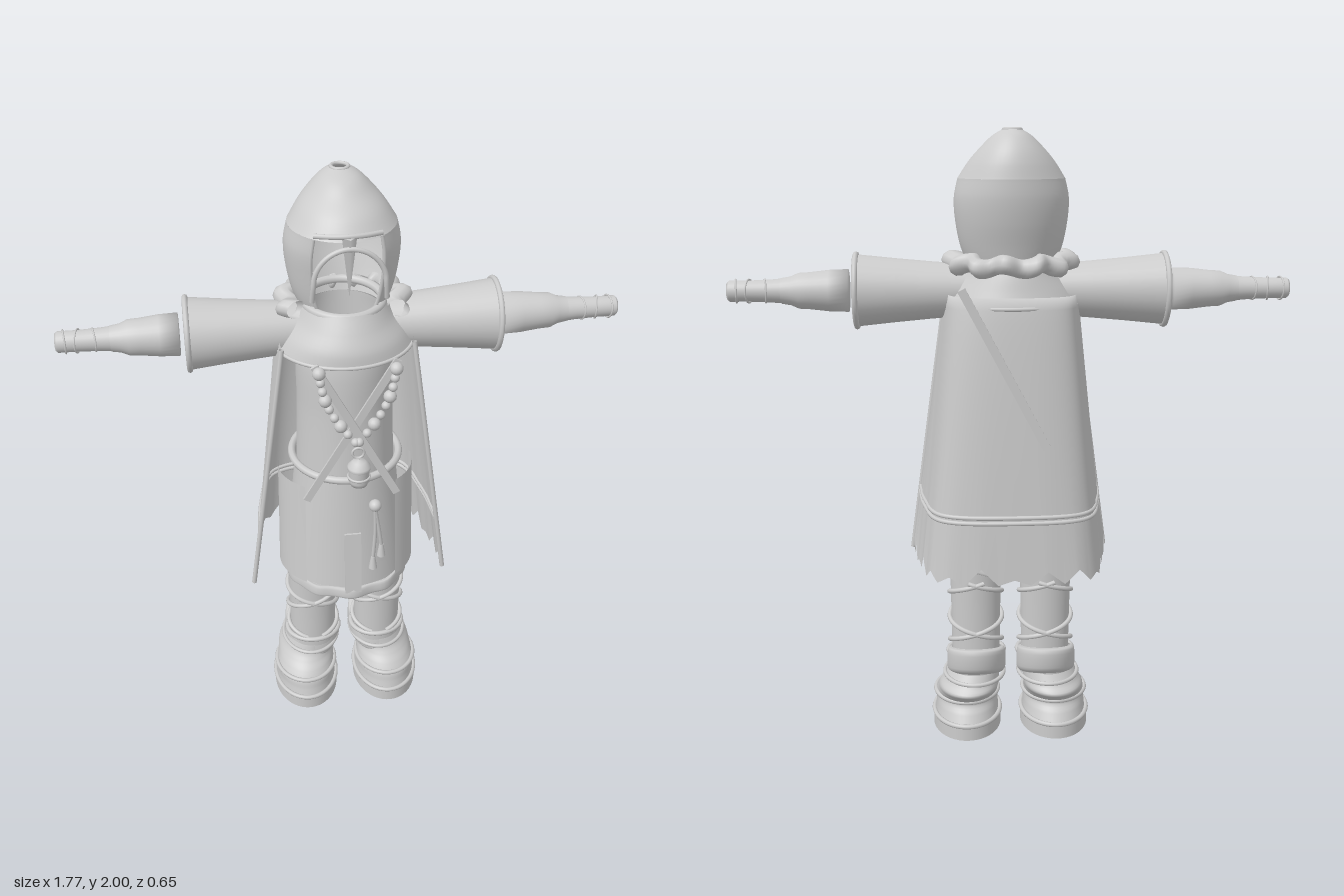
import * as THREE from 'three';
import { ParametricGeometry } from 'three/addons/geometries/ParametricGeometry.js';

const clay = new THREE.MeshStandardMaterial({ color: 0xcccccc, side: THREE.DoubleSide });
clay.name = 'clay grey';
const V = (x, y, z) => new THREE.Vector3(x, y, z);
const { lerp } = THREE.MathUtils;

export function createModel() {
  const model = new THREE.Group();
  model.name = 'hoodedFigure';

  const add = (name, geo, x = 0, y = 0, z = 0) => {
    const m = new THREE.Mesh(geo, clay);
    m.name = name;
    m.position.set(x, y, z);
    model.add(m);
    return m;
  };

  // Oval cross-sections, each row: [y, half width, front z, back z, centre x]; angle 0 is the front
  const cat = (a, b, c, d, t) => b + 0.5 * t * (c - a + t * (2 * a - 5 * b + 4 * c - d + t * (3 * (b - c) + d - a)));
  const section = (rows, v) => {
    const n = rows.length - 1, i = Math.min(Math.floor(v * n), n - 1);
    const at = (k) => rows[Math.max(0, Math.min(n, k))];
    return [0, 1, 2, 3, 4].map((k) => cat(...[-1, 0, 1, 2].map((o) => at(i + o)[k] ?? 0), v * n - i));
  };
  const loft = (rows, a0 = 0, a1 = Math.PI * 2, adjust = null, slices = 48) =>
    new ParametricGeometry((u, v, t) => {
      const [y, rx, zf, zb, cx] = section(rows, v), a = lerp(a0, a1, u);
      t.set(cx + rx * Math.sin(a), y, (zf + zb) / 2 + ((zf - zb) / 2) * Math.cos(a));
      if (adjust) adjust(t, a, v);
    }, slices, (rows.length - 1) * 4);
  const tube = (pts, r, closed = false, n = 48) =>
    new THREE.TubeGeometry(new THREE.CatmullRomCurve3(pts, closed), n, r, 8, closed);
  const oval = (y, rx, zf, zb, r, cx = 0) =>
    tube(Array.from({ length: 24 }, (_, i) => {
      const a = (i / 24) * Math.PI * 2;
      return V(cx + rx * Math.sin(a), y, (zf + zb) / 2 + ((zf - zb) / 2) * Math.cos(a));
    }), r, true, 64);
  const strap = (name, a, b, width) => {
    const m = add(name, new THREE.BoxGeometry(width, a.distanceTo(b), 0.008));
    m.position.copy(a).lerp(b, 0.5);
    m.rotation.z = -Math.atan2(a.x - b.x, a.y - b.y);
  };

  // Hood: full crown, and a lower part left open for the face
  const brow = [1.85, 0.166, 0.077, -0.26];
  add('hoodCrown', loft([brow, [1.9, 0.133, 0.04, -0.25], [1.94, 0.098, -0.01, -0.233],
    [1.975, 0.062, -0.055, -0.205], [1.995, 0.028, -0.112, -0.172]]));
  add('hoodSides', loft([[1.56, 0.125, 0.03, -0.2], [1.64, 0.158, 0.045, -0.222], [1.72, 0.174, 0.06, -0.245],
    [1.79, 0.178, 0.073, -0.258], brow], 0.66, Math.PI * 2 - 0.66));
  add('hoodTopRing', new THREE.TorusGeometry(0.026, 0.006, 8, 24).rotateX(Math.PI / 2), 0, 1.994, -0.142);
  for (const s of [1, -1])
    add('hoodOpeningEdge', tube([V(s * 0.075, 1.56, 0.005), V(s * 0.098, 1.64, 0.017), V(s * 0.108, 1.72, 0.03),
      V(s * 0.109, 1.79, 0.04), V(s * 0.101, 1.85, 0.043)], 0.006));
  add('browBar', tube([V(-0.1, 1.862, 0.045), V(-0.05, 1.866, 0.067), V(0, 1.868, 0.076), V(0.05, 1.866, 0.067), V(0.1, 1.862, 0.045)], 0.008));

  // Arched face frame and its hanging point
  const arch = [V(-0.112, 1.67, 0.08)];
  for (let i = 0; i <= 12; i++) {
    const a = Math.PI * (1 - i / 12);
    arch.push(V(0.108 * Math.cos(a), 1.725 + 0.11 * Math.sin(a), 0.09));
  }
  arch.push(V(0.112, 1.67, 0.08));
  add('faceArch', tube(arch, 0.008));
  add('foreheadPoint', new THREE.ConeGeometry(0.022, 0.19, 4).rotateX(Math.PI), 0, 1.77, 0.075);

  // Torso, mantle, collar and ruffled scarf
  add('torso', loft([[1.03, 0.162, 0.135, -0.2], [1.25, 0.155, 0.13, -0.2], [1.45, 0.155, 0.13, -0.2], [1.56, 0.13, 0.1, -0.2]]));
  add('mantle', loft([[1.465, 0.222, 0.137, -0.27], [1.51, 0.195, 0.13, -0.255], [1.56, 0.155, 0.105, -0.24], [1.61, 0.13, 0.075, -0.22]]));
  add('mantleHem', oval(1.467, 0.222, 0.138, -0.271, 0.006));
  add('neckRing', oval(1.6, 0.122, 0.065, -0.2, 0.014));
  add('scarf', new ParametricGeometry((u, v, t) => {
    const a = lerp(1.15, Math.PI * 2 - 1.15, u), b = -v * Math.PI * 2;
    const r = 0.165 + 0.012 * Math.sin(a * 13) + 0.034 * Math.cos(b);
    t.set(r * 1.04 * Math.sin(a), 1.592 + 0.008 * Math.sin(a * 9) + 0.03 * Math.sin(b), -0.075 + r * Math.cos(a));
  }, 100, 10));

  // Skirt with scalloped hem, side panels, front tab and belt
  add('skirt', loft([[0.61, 0.205, 0.17, -0.19], [0.8, 0.19, 0.155, -0.195], [1.05, 0.166, 0.138, -0.2]]));
  add('skirtHem', loft([[0.585, 0.2, 0.165, -0.18], [0.585, 0.212, 0.185, -0.205], [0.62, 0.21, 0.182, -0.203], [0.62, 0.2, 0.165, -0.18]],
    0, Math.PI * 2, (t, a) => { t.z += 0.006 * Math.cos(a * 10); }, 80));
  add('belt', oval(1.06, 0.177, 0.152, -0.21, 0.013));
  for (const s of [1, -1])
    add('skirtPanel', loft([[0.63, 0.232, 0.18, -0.2], [0.82, 0.228, 0.165, -0.2], [1.015, 0.225, 0.15, -0.2]], s * 0.72, s * 1.75, null, 16));
  add('frontTab', new THREE.BoxGeometry(0.055, 0.24, 0.008), 0, 0.73, 0.175).rotation.x = -0.08;

  // Cape: lerp between a shoulder curve and a wider hem curve, with a ragged lower edge
  const plan = (w, f, c, b) => new THREE.CatmullRomCurve3([V(w, 0, f), V(c, 0, -0.1), V(c * 0.8, 0, b + 0.04), V(0, 0, b),
    V(-c * 0.8, 0, b + 0.04), V(-c, 0, -0.1), V(-w, 0, f)]);
  const top = plan(0.205, 0.055, 0.21, -0.262), hem = plan(0.33, 0.075, 0.305, -0.318);
  const capeAt = (u, v) => {
    const a = top.getPoint(u), b = hem.getPoint(u), k = 1 - v;
    return V(lerp(a.x, b.x, k), lerp(0.6, 1.5, v), lerp(a.z, b.z, Math.pow(k, 0.6)));
  };
  const tooth = (u) => {
    const n = u * 15, f = Math.abs((n % 1) * 2 - 1);
    return (1 - f) * (0.035 + 0.02 * Math.sin(Math.floor(n) * 2.4));
  };
  add('cape', new ParametricGeometry((u, v, t) => {
    const w = 1 - u;
    t.copy(capeAt(w, v));
    t.y += tooth(w) * Math.pow(1 - v, 4);
  }, 120, 24));
  const along = (n, f) => Array.from({ length: n + 1 }, (_, i) => f(i / n));
  for (const v of [0.225, 0.245]) add('capeTrim', tube(along(24, (u) => capeAt(u, v)), 0.007, false, 80));
  for (const u of [0, 1]) add('capeEdge', tube(along(10, (v) => capeAt(u, v)), 0.008));

  // Shoulder straps
  strap('frontStrap', V(-0.125, 1.54, 0.232), V(0.13, 1.06, 0.232), 0.024);
  strap('frontStrap', V(0.125, 1.54, 0.224), V(-0.155, 1.05, 0.224), 0.024);
  strap('backStrap', V(0.16, 1.53, -0.292), V(-0.1, 1.04, -0.298), 0.026);

  // Bead necklace with a hanging pot
  for (const s of [1, -1])
    for (let i = 0; i < 9; i++) {
      const k = i / 8;
      add('bead', new THREE.SphereGeometry(i % 3 ? 0.014 : 0.02, 14, 10),
        s * (0.108 * (1 - k) + 0.025 * Math.sin(k * Math.PI)) + s * 0.006, lerp(1.53, 1.28, k), 0.258);
    }
  const turned = (pts) => new THREE.LatheGeometry(pts.map(([r, h]) => new THREE.Vector2(r, h)), 28);
  add('pot', turned([[0.001, 1.15], [0.026, 1.15], [0.032, 1.165], [0.032, 1.205], [0.035, 1.207], [0.035, 1.218], [0.02, 1.235], [0.001, 1.24]]), 0, 0, 0.292);
  add('potBand', new THREE.TorusGeometry(0.033, 0.004, 8, 24).rotateX(Math.PI / 2), 0, 1.18, 0.292);
  add('potLoop', new THREE.TorusGeometry(0.018, 0.004, 8, 20), 0, 1.253, 0.275);

  // Belt tassel
  add('tasselKnob', new THREE.SphereGeometry(0.02, 16, 12), 0.052, 1.06, 0.292);
  for (const [x, y] of [[0.05, 0.8], [0.076, 0.85]]) {
    add('tasselCord', tube([V(0.052, 1.05, 0.292), V((x + 0.06) / 2, 0.95, 0.285), V(x, y + 0.04, 0.28)], 0.006));
    add('tasselEnd', new THREE.CylinderGeometry(0.007, 0.014, 0.045, 12), x, y + 0.02, 0.28);
  }

  for (const s of [1, -1]) {
    // Arms: hollow flared sleeve, forearm and wrapped hand
    const limb = (name, pts) => add(name, turned(pts).rotateZ(-s * Math.PI / 2), 0, 1.505, -0.078);
    const ring = (name, x, R, r, tilt = 0) => {
      add(name, new THREE.TorusGeometry(R, r, 8, 32).rotateY(Math.PI / 2 + tilt), s * x, 1.505, -0.078);
    };
    limb('sleeve', [[0.08, 0.12], [0.09, 0.25], [0.1, 0.36], [0.113, 0.485]]);
    limb('sleeveLining', [[0.075, 0.12], [0.083, 0.25], [0.092, 0.36], [0.105, 0.485]]);
    ring('sleeveCuff', 0.485, 0.113, 0.009);
    limb('forearm', [[0.001, 0.51], [0.067, 0.51], [0.065, 0.57], [0.058, 0.63], [0.056, 0.665], [0.045, 0.69], [0.04, 0.72]]);
    limb('hand', [[0.04, 0.705], [0.036, 0.75], [0.033, 0.82], [0.033, 0.88], [0.027, 0.887], [0.001, 0.887]]);
    for (const [x, tilt] of [[0.71, 0], [0.77, 0.2], [0.82, -0.2], [0.86, 0.15]]) ring('handWrap', x, 0.036, 0.003, tilt);

    // Leg with kneecap and criss-cross wraps
    const cx = s * 0.118;
    add('leg', loft([[0.18, 0.08, 0.03, -0.11, cx], [0.4, 0.083, 0.03, -0.113, cx], [0.64, 0.087, 0.035, -0.12, cx]]));
    const knee = add('kneePad', new THREE.SphereGeometry(0.05, 24, 16), s * 0.122, 0.565, 0.025);
    knee.scale.set(1, 0.9, 0.75);
    for (const d of [1, -1])
      add('legWrap', tube(along(40, (k) => {
        const a = d * (k * Math.PI * 3 + 0.3);
        return V(cx + 0.089 * Math.sin(a), lerp(0.27, 0.53, k), -0.042 + 0.077 * Math.cos(a));
      }), 0.008, false, 90));
    add('kneeStrap', oval(0.575, 0.09, 0.036, -0.12, 0.006, cx));
    add('shinBand', oval(0.265, 0.094, 0.04, -0.125, 0.009, cx));

    // Boot: sole, foot, welts, slanted cuff and ankle strap
    const fx = s * 0.15;
    add('sole', new THREE.CylinderGeometry(1, 1, 0.045, 48).scale(0.116, 1, 0.162), fx, 0.0225, -0.037);
    add('bootFoot', loft([[0.04, 0.11, 0.117, -0.19, fx], [0.075, 0.106, 0.108, -0.17, fx], [0.11, 0.105, 0.1, -0.15, fx],
      [0.14, 0.102, 0.08, -0.185, s * 0.147], [0.165, 0.1, 0.055, -0.215, s * 0.143], [0.19, 0.094, 0.037, -0.195, s * 0.135], [0.225, 0.088, 0.03, -0.175, s * 0.125]]));
    add('soleWelt', oval(0.05, 0.113, 0.121, -0.197, 0.008, fx));
    add('footWelt', oval(0.118, 0.107, 0.1, -0.155, 0.008, fx));
    const tilt = (t) => { t.y += -0.3 * (t.z + 0.09); };
    add('bootCuff', loft([[0.205, 0.09, 0.03, -0.18, cx], [0.225, 0.099, 0.034, -0.195, cx], [0.285, 0.097, 0.025, -0.198, cx], [0.295, 0.083, 0.015, -0.17, cx]], 0, Math.PI * 2, tilt));
    add('ankleStrap', oval(0.205, 0.1, 0.045, -0.205, 0.007, s * 0.125));
  }

  return model;
}
